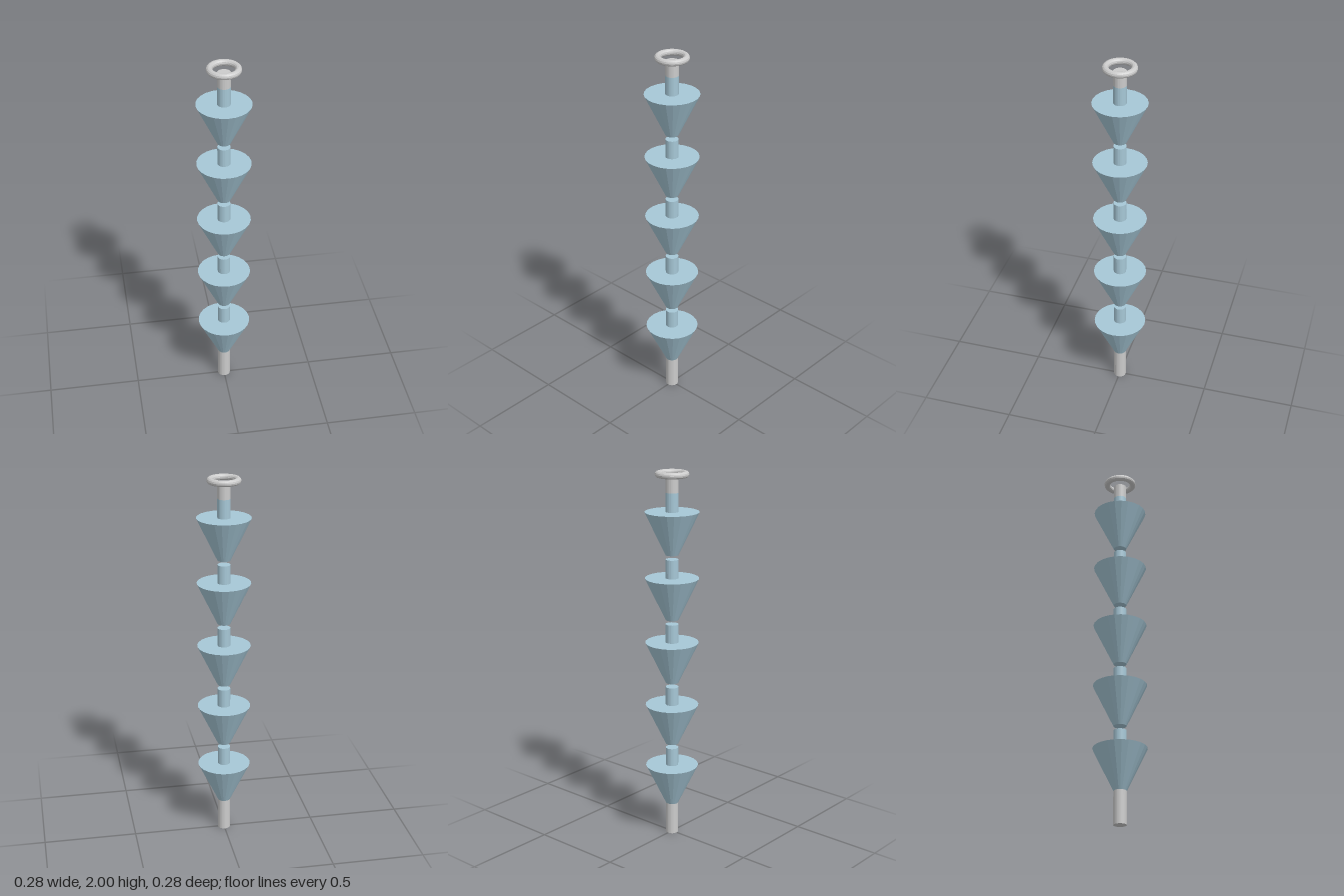
import * as THREE from 'three';

const SIDES = 24;
const ROD = 0.034; // shared rod radius

export function createModel() {
  const model = new THREE.Group();
  const grey = new THREE.MeshStandardMaterial({ color: 0xcccccc, flatShading: true });
  const blue = new THREE.MeshStandardMaterial({ color: 0xa6c7d6, flatShading: true });

  const add = (parent, name, geometry, material, y) => {
    const mesh = new THREE.Mesh(geometry, material);
    mesh.name = name;
    mesh.position.y = y;
    parent.add(mesh);
  };
  // Tapered cylinder spanning y0 to y1
  const taper = (parent, name, rTop, rBottom, y0, y1, material) =>
    add(parent, name, new THREE.CylinderGeometry(rTop, rBottom, y1 - y0, SIDES), material, (y0 + y1) / 2);

  // Plain rod ends
  taper(model, 'bottomRod', ROD, ROD, 0, 0.176, grey);
  taper(model, 'topRod', ROD, ROD, 1.89, 1.967, grey);

  // Five stacked funnels, each with a short neck, separated by small gaps
  for (let i = 0; i < 5; i++) {
    const section = new THREE.Group();
    section.name = `funnelSection${i + 1}`;
    section.position.y = 0.176 + i * 0.3475;
    taper(section, 'funnel', 0.142, ROD, 0, 0.225, blue);
    taper(section, 'neck', ROD, ROD, 0.225, 0.324, blue);
    model.add(section);
  }

  // Hanging ring lying flat at the top
  const ring = new THREE.TorusGeometry(0.0715, 0.0165, 12, 48).rotateX(Math.PI / 2);
  add(model, 'topRing', ring, grey, 1.9835);

  return model;
}
